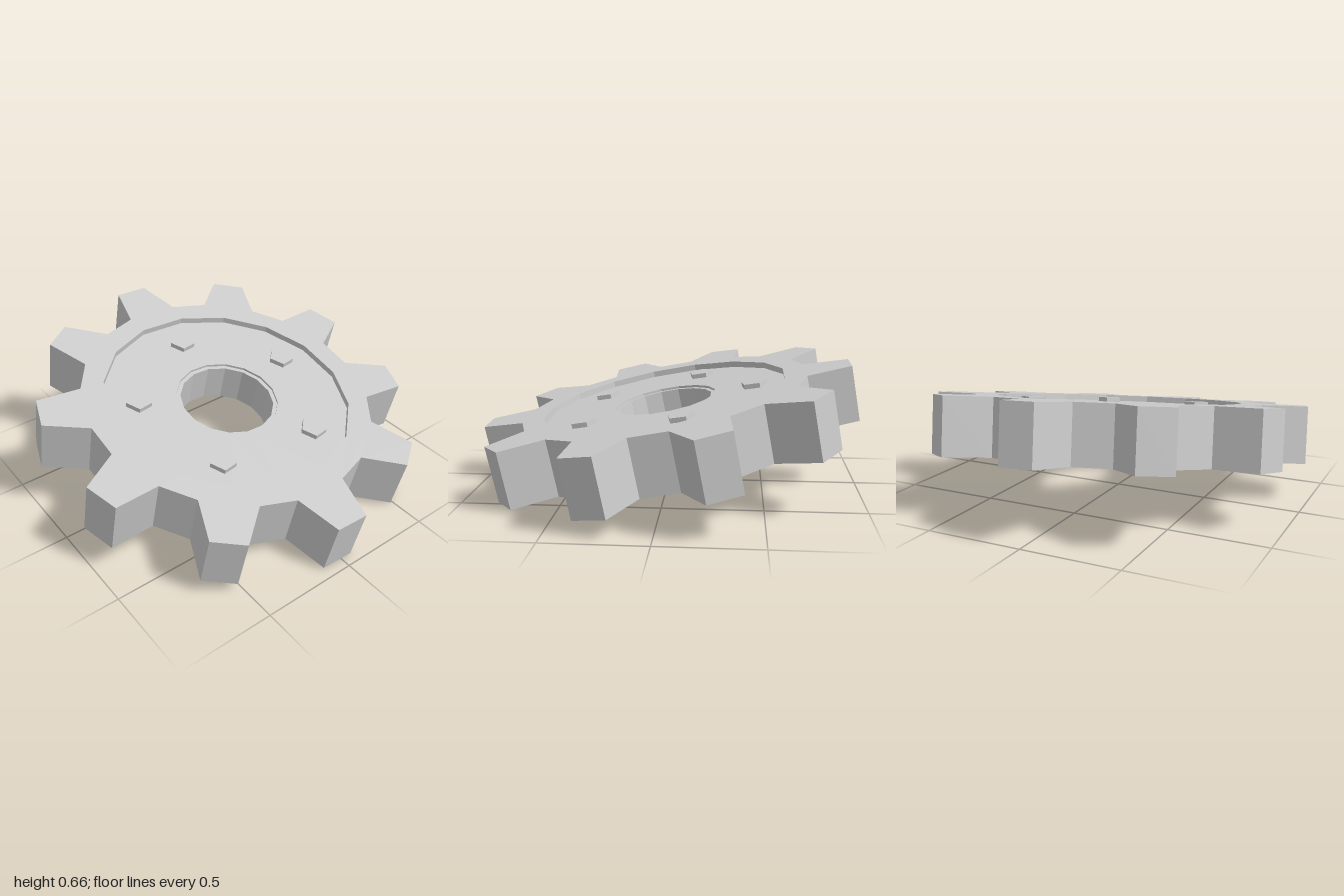
import * as THREE from 'three';

const TEETH = 10, SIDES = 16, THICK = 0.294;
const TIP_R = 0.992, ROOT_R = 0.77, RECESS_R = 0.655;
const YAW = THREE.MathUtils.degToRad(-1.1);
const deg = THREE.MathUtils.degToRad;

// Point on a circle, angle measured from +z towards +x (shape y is -z)
const polar = (r, a) => new THREE.Vector2(r * Math.sin(a), -r * Math.cos(a));

export function createModel() {
  const model = new THREE.Group();
  model.name = 'gear';
  const tilted = new THREE.Group();
  tilted.name = 'tiltedGear';
  model.add(tilted);

  const material = new THREE.MeshStandardMaterial({ color: 0xcccccc, flatShading: true });
  const add = (name, geometry) => {
    const mesh = new THREE.Mesh(geometry, material);
    mesh.name = name;
    tilted.add(mesh);
    return mesh;
  };

  // Toothed rim with a polygonal opening
  const outline = [];
  for (let i = 0; i < TEETH; i++) {
    const a = YAW + (i / TEETH) * Math.PI * 2;
    outline.push(
      polar(ROOT_R, a - deg(10.8)), polar(TIP_R, a - deg(5.1)),
      polar(TIP_R, a + deg(5.1)), polar(ROOT_R, a + deg(10.8))
    );
  }
  const rimShape = new THREE.Shape(outline);
  const opening = [];
  for (let i = 0; i < SIDES; i++) {
    opening.push(polar(RECESS_R, YAW + ((i + 0.5) / SIDES) * Math.PI * 2));
  }
  rimShape.holes.push(new THREE.Path(opening));
  const rim = new THREE.ExtrudeGeometry(rimShape, { depth: THICK, bevelEnabled: false });
  rim.translate(0, 0, -THICK / 2).rotateX(-Math.PI / 2);
  add('toothedRim', rim);

  // Recessed web with a small step around the bore
  const web = THICK / 2 - 0.033, step = web - 0.012;
  const profile = [
    [RECESS_R, web], [0.272, web], [0.272, step], [0.25, step],
    [0.25, -step], [0.272, -step], [0.272, -web], [RECESS_R, -web]
  ].map(([x, y]) => new THREE.Vector2(x, y));
  add('webAndBore', new THREE.LatheGeometry(profile, SIDES, YAW + Math.PI / SIDES));

  // Five pentagonal bolts standing out on both faces
  for (let i = 0; i < 5; i++) {
    const a = deg(31.7) + (i / 5) * Math.PI * 2;
    const bolt = add('bolt', new THREE.CylinderGeometry(0.07, 0.07, 2 * (web + 0.025), 5, 1, false, deg(45)));
    bolt.position.set(0.48 * Math.sin(a), 0, 0.48 * Math.cos(a));
  }

  // Lean forwards and slightly to the side, then rest on the ground
  tilted.rotation.set(0.187, 0, -0.05);
  model.updateMatrixWorld(true);
  const box = new THREE.Box3().setFromObject(model, true);
  const c = box.getCenter(new THREE.Vector3());
  tilted.position.set(-c.x, -box.min.y, -c.z);
  return model;
}
